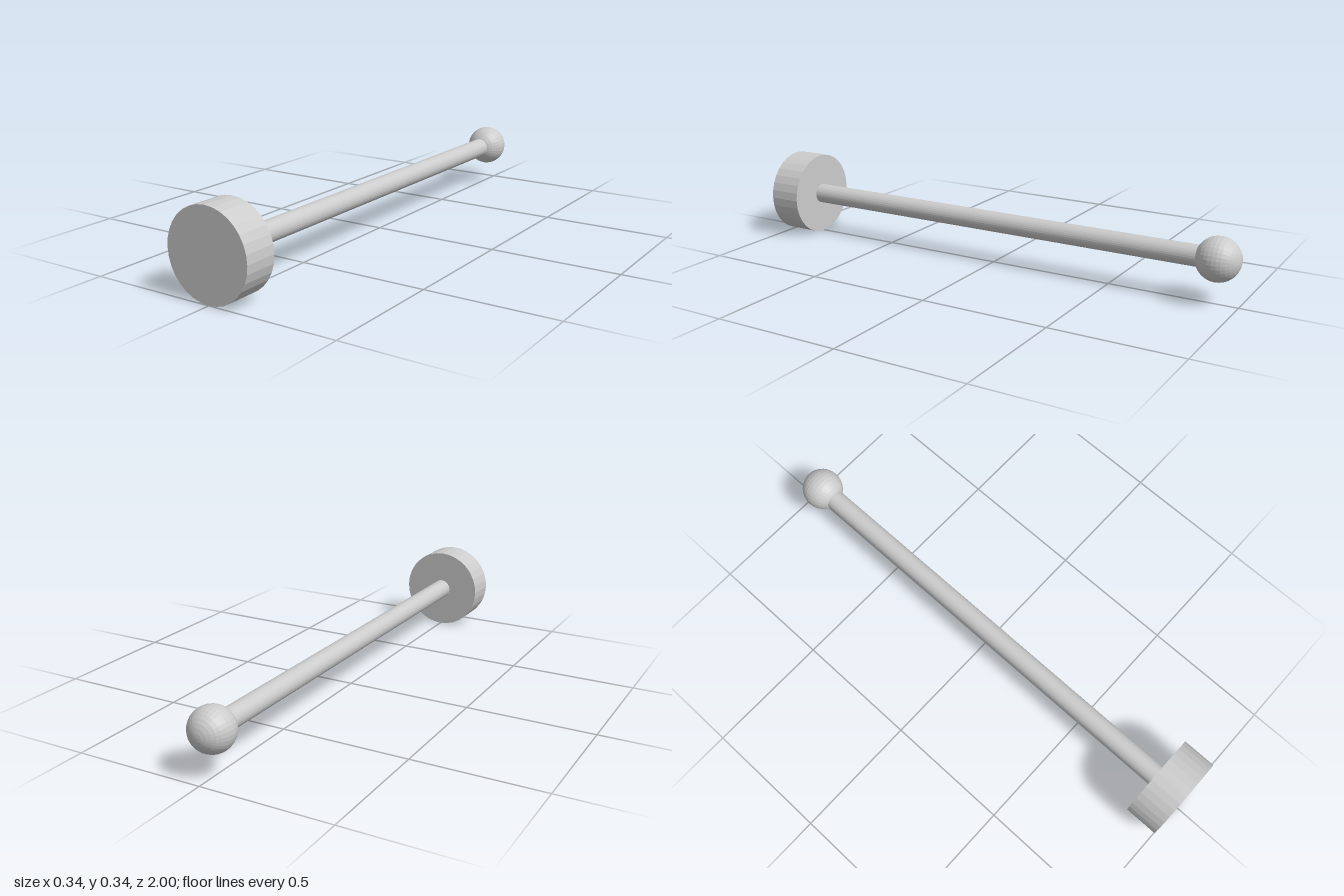
import * as THREE from 'three';

const AXIS_Y = 0.168; // height of the shared long axis

export function createModel() {
  const group = new THREE.Group();
  const material = new THREE.MeshStandardMaterial({ color: 0xcccccc, flatShading: true });

  // Adds a part whose own axis is turned to lie along z
  const addPart = (name, geometry, z) => {
    const mesh = new THREE.Mesh(geometry.rotateX(Math.PI / 2), material);
    mesh.name = name;
    mesh.position.set(0, AXIS_Y, z);
    group.add(mesh);
  };

  // Round disc at the front
  addPart('endDisc', new THREE.CylinderGeometry(0.168, 0.168, 0.132, 32), 0.934);

  // Long rod, sunk slightly into the disc and the ball
  addPart('rod', new THREE.CylinderGeometry(0.04, 0.04, 1.76, 32), 0);

  // Ball at the back
  addPart('ballTip', new THREE.SphereGeometry(0.083, 32, 16), -0.917);

  return group;
}
